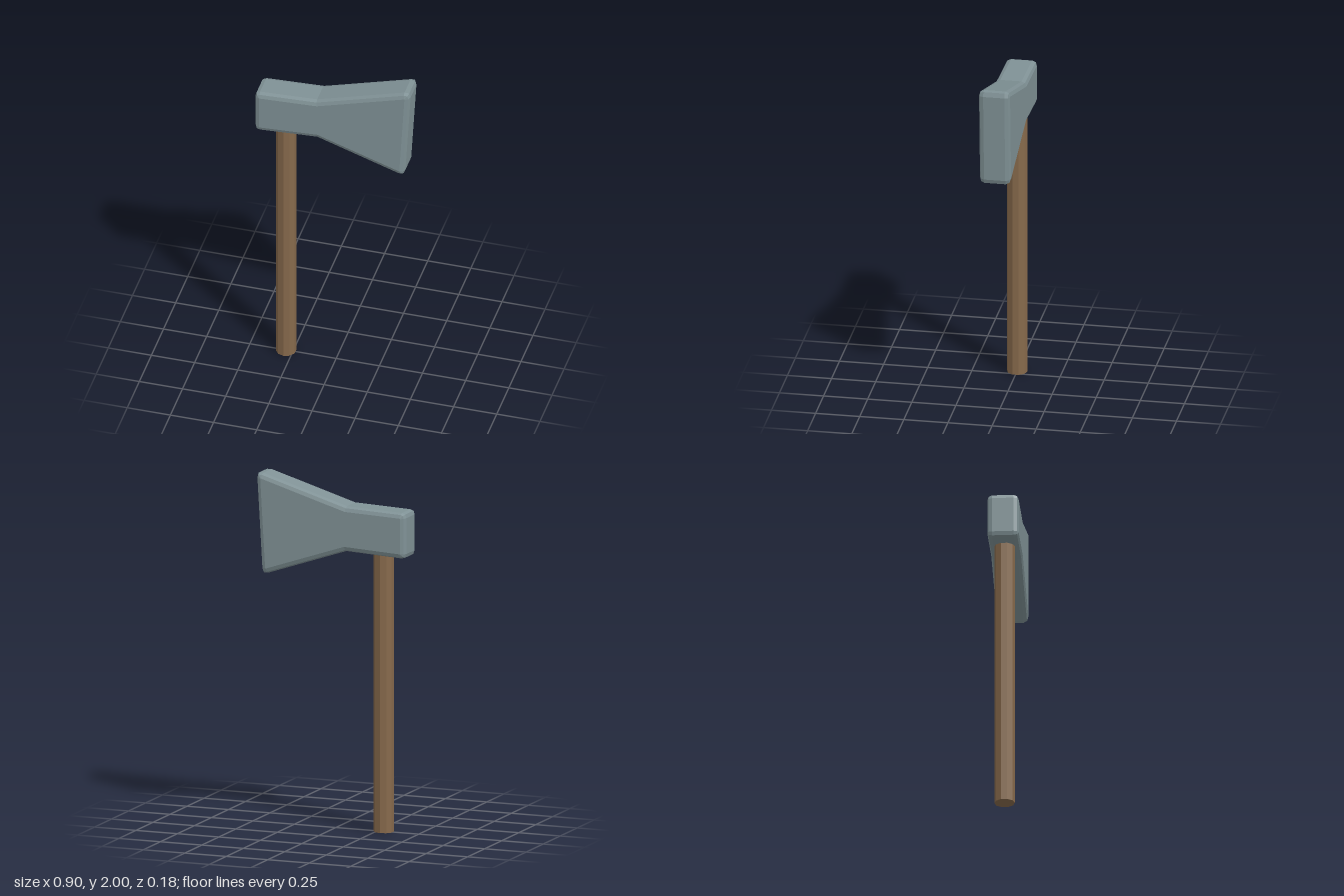
import * as THREE from 'three';

const BEVEL = 0.028;
const HALF_THICKNESS = 0.088;

// Closed outline whose convex corners are slightly rounded; reflex corners stay sharp.
function softOutline(points, cut) {
  const corners = points.map(([x, y]) => new THREE.Vector2(x, y));
  const shape = new THREE.Shape();
  corners.forEach((p, i) => {
    const prev = corners[(i + corners.length - 1) % corners.length];
    const next = corners[(i + 1) % corners.length];
    const toPrev = prev.clone().sub(p).setLength(cut);
    const toNext = next.clone().sub(p).setLength(cut);
    const start = p.clone().add(toPrev);
    const end = p.clone().add(toNext);
    const move = i === 0 ? 'moveTo' : 'lineTo';
    if (toNext.cross(toPrev) > 0) {
      shape[move](start.x, start.y);
      shape.quadraticCurveTo(p.x, p.y, end.x, end.y);
    } else {
      shape[move](p.x, p.y);
    }
  });
  shape.closePath();
  return shape;
}

export function createModel() {
  const model = new THREE.Group();
  model.name = 'axe';

  const steel = new THREE.MeshStandardMaterial({ color: 0x809296, flatShading: true });
  const wood = new THREE.MeshStandardMaterial({ color: 0x86694b, flatShading: true });

  // Head: poll on the left, narrow waist, flared blade on the right
  const outline = softOutline([
    [-0.422, 1.6], [-0.085, 1.618], [0.39, 1.458],
    [0.42, 1.97], [-0.088, 1.817], [-0.422, 1.803],
  ], 0.004);
  const depth = 2 * (HALF_THICKNESS - BEVEL);
  const headGeometry = new THREE.ExtrudeGeometry(outline, {
    depth,
    curveSegments: 2,
    bevelEnabled: true,
    bevelSize: BEVEL,
    bevelThickness: BEVEL,
    bevelSegments: 2,
  });
  headGeometry.translate(0, 0, -depth / 2);
  const head = new THREE.Mesh(headGeometry, steel);
  head.name = 'axeHead';
  model.add(head);

  // Handle: ten-sided pole running up into the head
  const handleHeight = 1.7;
  const handle = new THREE.Mesh(
    new THREE.CylinderGeometry(0.057, 0.057, handleHeight, 10), wood);
  handle.name = 'handle';
  handle.position.set(-0.29, handleHeight / 2, 0);
  model.add(handle);

  return model;
}
